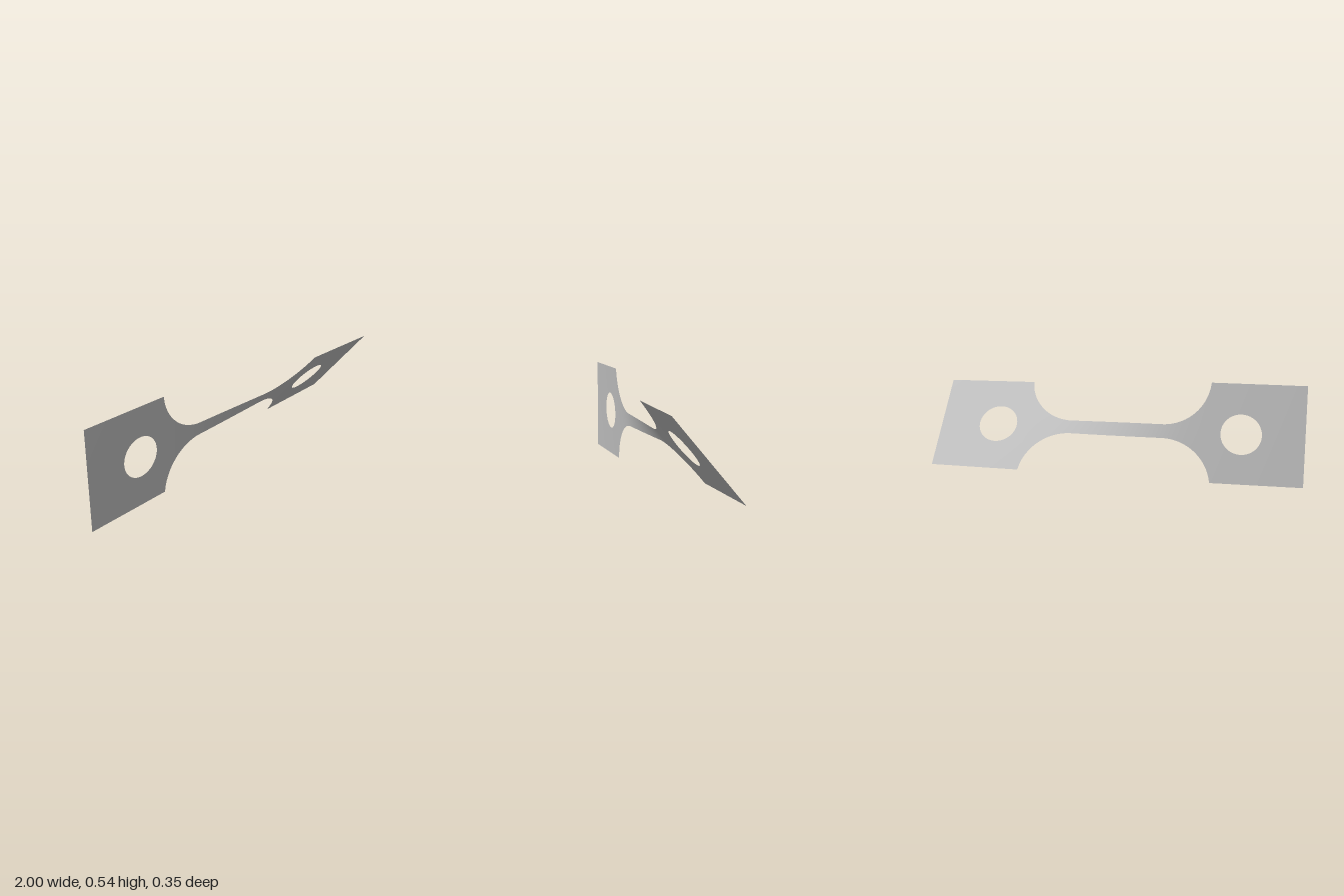
import * as THREE from 'three';

const MID = 0.271;                        // height of the long axis
const PLATE = 0.27, NECK = 0.037;         // half widths
const NECK_END = 0.25, PLATE_START = 0.51;
const HOLE_X = 0.67, HOLE_R = 0.108;
const TWIST = THREE.MathUtils.degToRad(40.1);

// Half width along the strip: neck, circular fillet, plate
function halfWidth(x) {
  const u = Math.abs(x) - NECK_END, rise = PLATE - NECK, run = PLATE_START - NECK_END;
  if (u <= 0) return NECK;
  if (u >= run) return PLATE;
  const r = (run * run + rise * rise) / (2 * rise);
  return NECK + r - Math.sqrt(r * r - u * u);
}

// Twist angle: narrow sections turn more than wide ones
const STEPS = 800;
const rawRate = (x) => Math.pow(halfWidth(x), -1.3);
const table = [0];
for (let i = 0; i < STEPS; i++) {
  table.push(table[i] + rawRate(-1 + (2 * (i + 0.5)) / STEPS) * (2 / STEPS));
}
const scale = TWIST / table[STEPS];
function angle(x) {
  const t = THREE.MathUtils.clamp((x + 1) * 0.5 * STEPS, 0, STEPS);
  const i = Math.min(Math.floor(t), STEPS - 1);
  return scale * THREE.MathUtils.lerp(table[i], table[i + 1], t - i);
}

// Grid on the twisted sheet; fn(u, v) gives [distance along, distance across]
function twistedGrid(nu, nv, fn) {
  const pos = [], nor = [], idx = [];
  for (let i = 0; i <= nu; i++) {
    for (let j = 0; j <= nv; j++) {
      const [x, d] = fn(i / nu, j / nv);
      const a = angle(x), rate = scale * rawRate(x);
      pos.push(x, MID + d * Math.cos(a), d * Math.sin(a));
      const n = new THREE.Vector3(-d * rate, -Math.sin(a), Math.cos(a)).normalize();
      nor.push(n.x, n.y, n.z);
      if (i < nu && j < nv) {
        const k = i * (nv + 1) + j, l = k + nv + 1;
        idx.push(k, l, l + 1, k, l + 1, k + 1);
      }
    }
  }
  const g = new THREE.BufferGeometry();
  g.setAttribute('position', new THREE.Float32BufferAttribute(pos, 3));
  g.setAttribute('normal', new THREE.Float32BufferAttribute(nor, 3));
  g.setIndex(idx);
  return g;
}

// Point on the plate's rectangular border, counterclockwise for t in 0..1
const corners = [[1, -PLATE], [1, PLATE], [PLATE_START, PLATE], [PLATE_START, -PLATE]];
function border(t) {
  const s = (t * 4) % 4, i = Math.floor(s), f = s - i;
  const a = corners[i], b = corners[(i + 1) % 4];
  return [a[0] + (b[0] - a[0]) * f, a[1] + (b[1] - a[1]) * f];
}

export function createModel() {
  const group = new THREE.Group();
  group.name = 'twistedStrip';
  const metal = new THREE.MeshStandardMaterial({ color: 0xc0c0c0, side: THREE.DoubleSide });
  metal.name = 'grey metal';
  const add = (name, geometry) => {
    const mesh = new THREE.Mesh(geometry, metal);
    mesh.name = name;
    group.add(mesh);
  };

  // Narrow neck with its fillets
  add('neck', twistedGrid(160, 10, (u, v) => {
    const x = PLATE_START * (2 * u - 1);
    return [x, halfWidth(x) * (2 * v - 1)];
  }));

  // End plates: rings running from the round hole out to the border
  for (const side of [1, -1]) {
    add(side > 0 ? 'leftPlate' : 'rightPlate', twistedGrid(6, 96, (u, v) => {
      const [bx, bd] = border(v);
      const t = Math.atan2(bd, bx - HOLE_X);
      const hx = HOLE_X + HOLE_R * Math.cos(t), hd = HOLE_R * Math.sin(t);
      return [side * (hx + (bx - hx) * u), side * (hd + (bd - hd) * u)];
    }));
  }
  return group;
}
